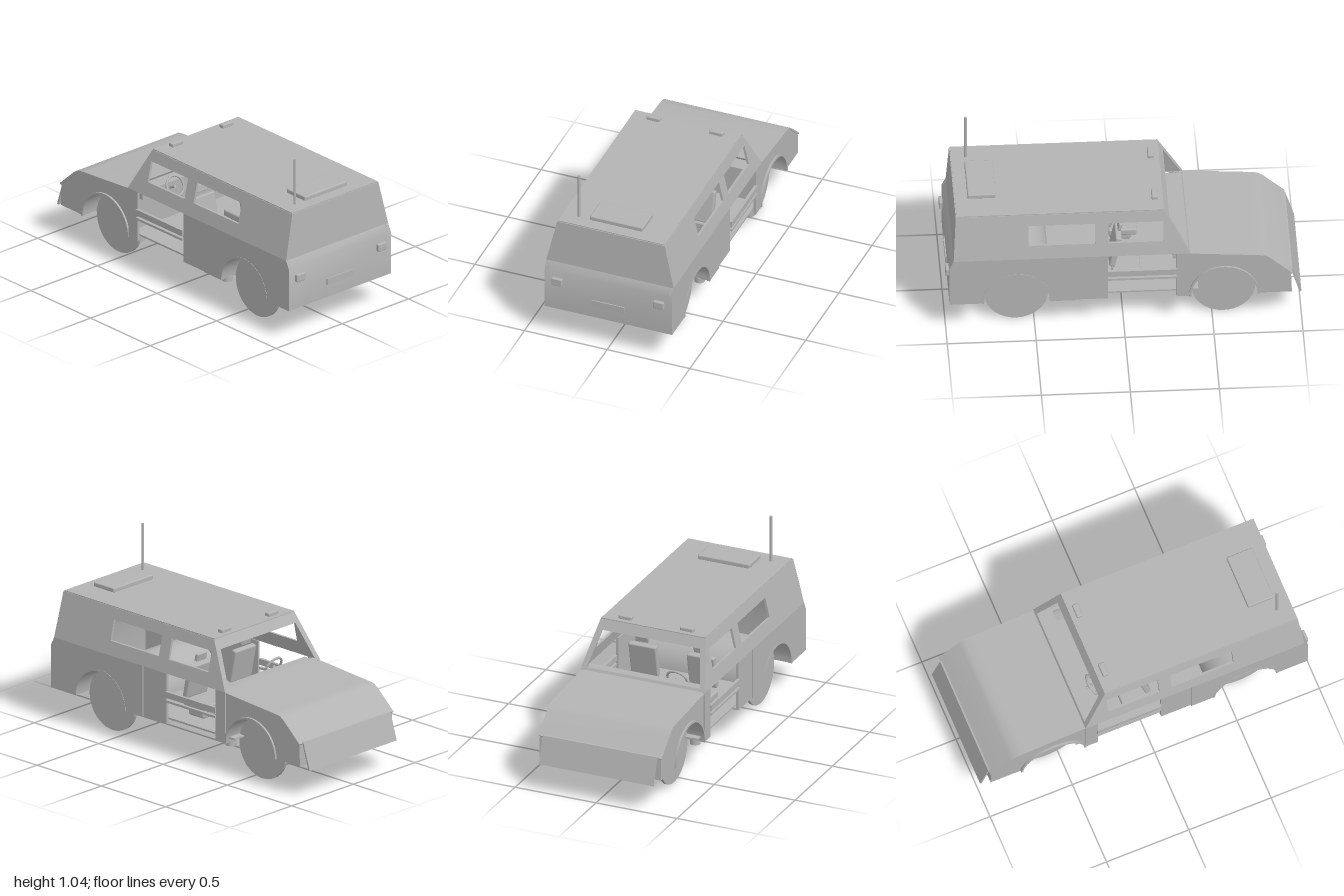
import * as THREE from 'three';
import { toCreasedNormals } from 'three/addons/utils/BufferGeometryUtils.js';
import { RoundedBoxGeometry } from 'three/addons/geometries/RoundedBoxGeometry.js';

const WHEEL_Z = [0.6, -0.565];
const ARCH_R = 0.19, ARCH_Y = 0.187;
const BELT = 0.49, ROOF = 0.755;

// half width of the tapered cabin at height y
const cabinHalf = (y) => THREE.MathUtils.mapLinear(y, BELT, ROOF, 0.385, 0.325);
const rect = (a0, b0, a1, b1) => [[a0, b0], [a1, b0], [a1, b1], [a0, b1]];

// arch points from the +z foot over the top to the -z foot
function arch(cz, r, n = 24) {
  return Array.from({ length: n + 1 }, (_, i) => {
    const a = (Math.PI * i) / n;
    return [cz + r * Math.cos(a), ARCH_Y + r * Math.sin(a)];
  });
}

function extrude(points, holes, depth, place) {
  const vec = (list) => list.map(([a, b]) => new THREE.Vector2(a, b));
  const shape = new THREE.Shape(vec(points));
  holes.forEach((h) => shape.holes.push(new THREE.Path(vec(h))));
  const geo = new THREE.ExtrudeGeometry(shape, { depth, bevelEnabled: false });
  const p = geo.attributes.position;
  for (let i = 0; i < p.count; i++) p.setXYZ(i, ...place(p.getX(i), p.getY(i), p.getZ(i)));
  return toCreasedNormals(geo, 0.5);
}

// (z, y) profile across the whole width
const across = (points, half) =>
  extrude(points, [], half * 2, (z, y, d) => [half - d, y, z]);

// (z, y) plate on one side; half(y) is the outer distance from the middle
const sidePlate = (side, points, holes, depth, half) =>
  extrude(points, holes, depth, (z, y, d) =>
    [side > 0 ? half(y) - d : -half(y) + depth - d, y, z]);

// (x, y) panel leaning in z
const leaning = (points, holes, depth, zAt) =>
  extrude(points, holes, depth, (x, y, d) => [x, y, zAt(y) + d]);

export function createModel() {
  const model = new THREE.Group();
  const grey = new THREE.MeshStandardMaterial({ color: 0xb3b3b3, side: THREE.DoubleSide });
  grey.name = 'body grey';

  const add = (name, geo, x = 0, y = 0, z = 0, rx = 0) => {
    const mesh = new THREE.Mesh(geo, grey);
    mesh.name = name;
    mesh.position.set(x, y, z);
    mesh.rotation.x = rx;
    model.add(mesh);
    return mesh;
  };
  const box = (name, x0, x1, y0, y1, z0, z1) =>
    add(name, new THREE.BoxGeometry(x1 - x0, y1 - y0, z1 - z0),
      (x0 + x1) / 2, (y0 + y1) / 2, (z0 + z1) / 2);
  const softBox = (name, w, h, d, x, y, z, rx = 0) =>
    add(name, new RoundedBoxGeometry(w, h, d, 2, Math.min(w, h, d) * 0.25), x, y, z, rx);

  // bonnet and front wings, with a wheel tunnel through them
  const frontArch = arch(WHEEL_Z[1], ARCH_R);
  add('bonnet', across([
    [-0.365, 0.187], [-0.365, 0.48], [-0.6, 0.463], [-0.74, 0.452], [-0.79, 0.446],
    [-0.82, 0.427], [-0.94, 0.32], [-0.945, 0.187], ...frontArch.slice().reverse()], 0.375));
  add('bonnetCover', across([
    [-0.365, 0.487], [-0.6, 0.469], [-0.74, 0.459], [-0.795, 0.453], [-0.825, 0.433],
    [-0.948, 0.322], [-0.94, 0.315], [-0.82, 0.425], [-0.79, 0.444], [-0.6, 0.46],
    [-0.365, 0.477]], 0.381));
  add('frontBumperPlate', across([
    [-0.94, 0.33], [-0.95, 0.328], [-1.0, 0.17], [-0.99, 0.166]], 0.353));

  // rear wall, rear wheel tunnel and floors
  add('rearWall', across([
    [0.98, 0.187], [0.98, 0.442], [0.955, BELT], [0.94, BELT], [0.965, 0.44], [0.965, 0.187]], 0.376));
  add('rearWheelTunnel', across([
    ...arch(WHEEL_Z[0], ARCH_R + 0.008), ...arch(WHEEL_Z[0], ARCH_R).reverse()], 0.37));
  box('rearFloor', -0.37, 0.37, 0.187, 0.197, 0.09, 0.41);
  box('tailFloor', -0.37, 0.37, 0.187, 0.197, 0.79, 0.97);
  box('cabFloor', -0.36, 0.36, 0.211, 0.221, -0.42, 0.09);

  // cabin: rear wall, windscreen frame and roof
  const rearZ = (y) => THREE.MathUtils.mapLinear(y, BELT, ROOF, 0.945, 0.93);
  const screenZ = (y) => THREE.MathUtils.mapLinear(y, BELT, ROOF, -0.372, -0.23);
  const trapezoid = [[-0.385, BELT], [0.385, BELT], [0.325, ROOF], [-0.325, ROOF]];
  add('cabinRearWall', leaning(trapezoid, [], 0.012, rearZ));
  add('windscreenFrame', leaning(trapezoid,
    [[[-0.35, 0.505], [0.35, 0.505], [0.302, 0.7], [-0.302, 0.7]]], 0.012, screenZ));
  box('roof', -0.322, 0.322, 0.748, 0.76, -0.23, 0.937);

  for (const s of [1, -1]) {
    // cabin side with two window openings
    add('cabinSide', sidePlate(s,
      [[0.957, BELT], [0.942, ROOF], [-0.23, ROOF], [-0.372, BELT]],
      [rect(0.16, 0.57, 0.535, 0.69), rect(-0.225, 0.57, 0.085, 0.69)], 0.014, cabinHalf));
    // lower rear panel, middle panel and front door post
    add('rearSidePanel', sidePlate(s,
      [[0.27, 0.187], [0.27, BELT], [0.957, BELT], [0.98, 0.445], [0.98, 0.187],
        ...arch(WHEEL_Z[0], ARCH_R)], [], 0.02, () => 0.385));
    add('middleSidePanel', sidePlate(s, rect(0.09, 0.187, 0.275, BELT), [], 0.015, () => 0.378));
    add('frontDoorPost', sidePlate(s, rect(-0.37, 0.187, -0.295, BELT), [], 0.015, () => 0.382));
    for (const z of WHEEL_Z) {
      add('wheelArchLip', sidePlate(s,
        [...arch(z, ARCH_R + 0.008), ...arch(z, ARCH_R - 0.004).reverse()], [], 0.02, () => 0.387));
      add('wheel', new THREE.CylinderGeometry(0.18, 0.18, 0.018, 40).rotateZ(Math.PI / 2),
        s * 0.273, 0.18, z);
    }
    // bars across the open doorway
    const bx = s * 0.381;
    box('upperDoorBar', bx - 0.009, bx + 0.009, 0.347, 0.383, -0.3, 0.09);
    box('lowerDoorBar', bx - 0.009, bx + 0.009, 0.32, 0.333, -0.3, 0.09);

    // round mounts under the floor
    for (const z of [0.385, -0.35])
      add('underfloorMount', new THREE.CylinderGeometry(0.03, 0.03, 0.034, 20), s * 0.314, 0.174, z);

    // lamps
    softBox('rearLamp', 0.064, 0.046, 0.024, s * 0.307, 0.378, 0.988);
    softBox('roofLamp', 0.08, 0.026, 0.035, s * 0.19, 0.768, -0.183);

    // seats
    const sx = s * 0.18;
    softBox('seatPedestal', 0.13, 0.05, 0.12, sx, 0.243, -0.01);
    softBox('seatCushion', 0.18, 0.042, 0.16, sx, 0.285, -0.02);
    softBox('seatBack', 0.17, 0.2, 0.035, sx, 0.42, 0.04, -0.2);
    softBox('headrest', 0.08, 0.045, 0.02, sx, 0.56, 0.012, -0.2);
  }

  // dashboard and steering
  box('dashboard', -0.36, 0.36, 0.44, 0.488, -0.365, -0.275);
  add('steeringWheel', new THREE.TorusGeometry(0.06, 0.007, 8, 28), -0.15, 0.475, -0.235, -0.45);
  add('steeringColumn', new THREE.CylinderGeometry(0.008, 0.008, 0.1, 10).rotateX(Math.PI / 2),
    -0.15, 0.453, -0.28, -0.45);

  // rear plate, roof hatch and aerial
  box('rearPlate', -0.1, 0.096, 0.264, 0.302, 0.975, 0.987);
  softBox('roofHatch', 0.32, 0.03, 0.157, 0, 0.77, 0.787);
  add('aerial', new THREE.CylinderGeometry(0.008, 0.008, 0.28, 12), -0.228, 0.897, 0.855);

  return model;
}
